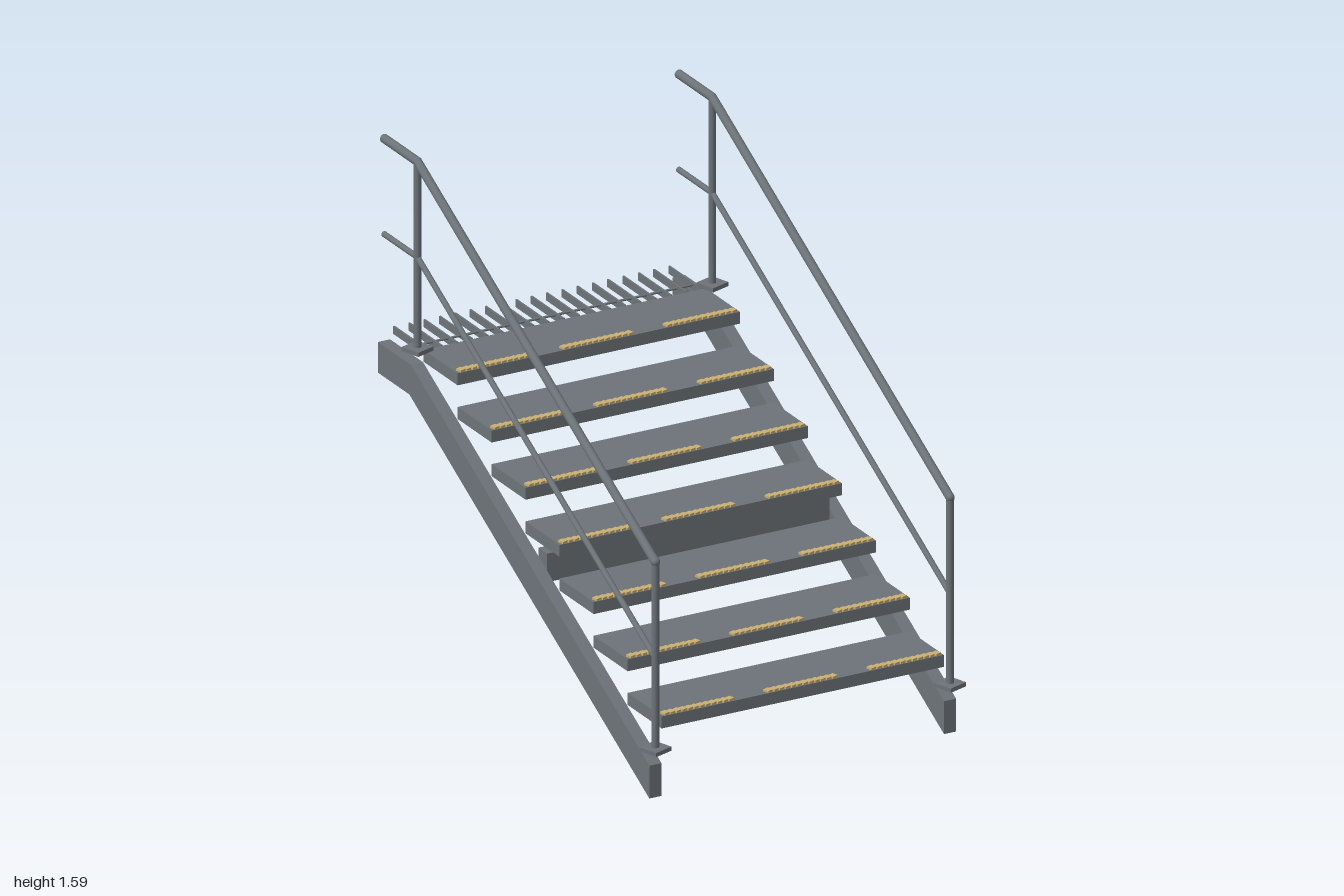
import * as THREE from 'three';

const steel = new THREE.MeshStandardMaterial({ name: 'steel grey', color: 0x6c7378 });
const grip = new THREE.MeshStandardMaterial({ name: 'nosing tan', color: 0xcab072 });

const TURN = -0.3236;            // the whole stair is turned about y
const SIDE = 0.522;              // stringer and rail offset from the centre
const FRONT = 0.84, BEND = -0.661, BACK = -0.873;
const STEPS = 7, RISE = 0.1127, GOING = 0.2146, DEPTH = 0.2155;

function add(parent, name, geometry, x = 0, y = 0, z = 0, material = steel) {
  const mesh = new THREE.Mesh(geometry, material);
  mesh.name = name;
  mesh.position.set(x, y, z);
  parent.add(mesh);
  return mesh;
}

function box(parent, name, size, pos, material) {
  return add(parent, name, new THREE.BoxGeometry(...size), ...pos, material);
}

// Round bar between two points
function bar(parent, name, a, b, radius) {
  const from = new THREE.Vector3(...a), to = new THREE.Vector3(...b);
  const dir = to.clone().sub(from);
  const mesh = add(parent, name, new THREE.CylinderGeometry(radius, radius, dir.length(), 16));
  mesh.position.copy(from).add(to).multiplyScalar(0.5);
  mesh.quaternion.setFromUnitVectors(new THREE.Vector3(0, 1, 0), dir.normalize());
}

// Sloped rail with a level end and a rounded joint at each corner
function rail(parent, name, x, yLow, yHigh, radius) {
  const points = [[x, yLow, FRONT], [x, yHigh, BEND], [x, yHigh, BACK]];
  bar(parent, name, points[0], points[1], radius);
  bar(parent, name + 'End', points[1], points[2], radius);
  for (const p of points.slice(0, 2)) {
    add(parent, name + 'Joint', new THREE.SphereGeometry(radius, 16, 10), ...p);
  }
}

// Side beam: sloped run with a level top end
function stringerGeometry() {
  const width = 0.043;
  const shape = new THREE.Shape([
    [-FRONT, 0], [0.675, 0.797], [-BACK, 0.797], [-BACK, 0.9], [0.665, 0.9], [-FRONT, 0.11],
  ].map(([x, y]) => new THREE.Vector2(x, y)));
  const geometry = new THREE.ExtrudeGeometry(shape, { depth: width, bevelEnabled: false });
  geometry.translate(0, 0, -width / 2);
  return geometry.rotateY(Math.PI / 2);
}

// Row of small square studs forming one anti-slip strip
function gripStrip(parent, x, y, z) {
  const strip = new THREE.Group();
  strip.name = 'gripStrip';
  strip.position.set(x, y, z);
  parent.add(strip);
  const count = 12, pitch = 0.0208;
  for (let i = 0; i < count; i++) {
    const u = (i - (count - 1) / 2) * pitch;
    box(strip, 'gripStud', [0.0215, 0.007, 0.0215], [u, 0.0035, 0], grip).rotation.y = -TURN;
  }
}

export function createModel() {
  const model = new THREE.Group();
  model.name = 'staircase';
  const stair = new THREE.Group();
  stair.name = 'stairFlight';
  stair.rotation.y = TURN;
  model.add(stair);

  // Stringers and railings, one per side
  for (const s of [-1, 1]) {
    const side = new THREE.Group();
    side.name = s < 0 ? 'rightSide' : 'leftSide';
    stair.add(side);
    const x = s * SIDE;
    add(side, 'stringer', stringerGeometry(), x);
    bar(side, 'frontPost', [x, 0.158, FRONT], [x, 0.79, FRONT], 0.012);
    bar(side, 'backPost', [x, 0.948, BEND], [x, 1.579, BEND], 0.012);
    rail(side, 'handrail', x, 0.79, 1.579, 0.0145);
    rail(side, 'midRail', x, 0.468, 1.258, 0.0095);
    for (const [y, z] of [[0.162, FRONT], [0.951, BEND]]) {
      box(side, 'basePlate', [0.07, 0.014, 0.07], [x, y, z]).rotation.y = -TURN;
    }
  }

  // Treads, each with three grip strips along the nosing
  for (let i = 0; i < STEPS; i++) {
    const top = 0.266 + i * RISE;
    const front = FRONT - i * GOING;
    box(stair, 'tread', [1, 0.04, DEPTH], [0, top - 0.02, front - DEPTH / 2]);
    for (const x of [-0.366, 0, 0.366]) gripStrip(stair, x, top, front - 0.0145);
  }

  // Cross beam between the stringers
  box(stair, 'crossBeam', [1, 0.096, 0.055], [0, 0.498, 0.09]);

  // Landing grating: upright slats on a cross rod
  for (let i = 0; i < 19; i++) {
    box(stair, 'gratingSlat', [0.006, 0.026, 0.205], [(i - 9) * 0.0542, 0.93, -0.769]);
  }
  bar(stair, 'gratingRod', [-0.5, 0.935, -0.72], [0.5, 0.935, -0.72], 0.004);

  return model;
}
